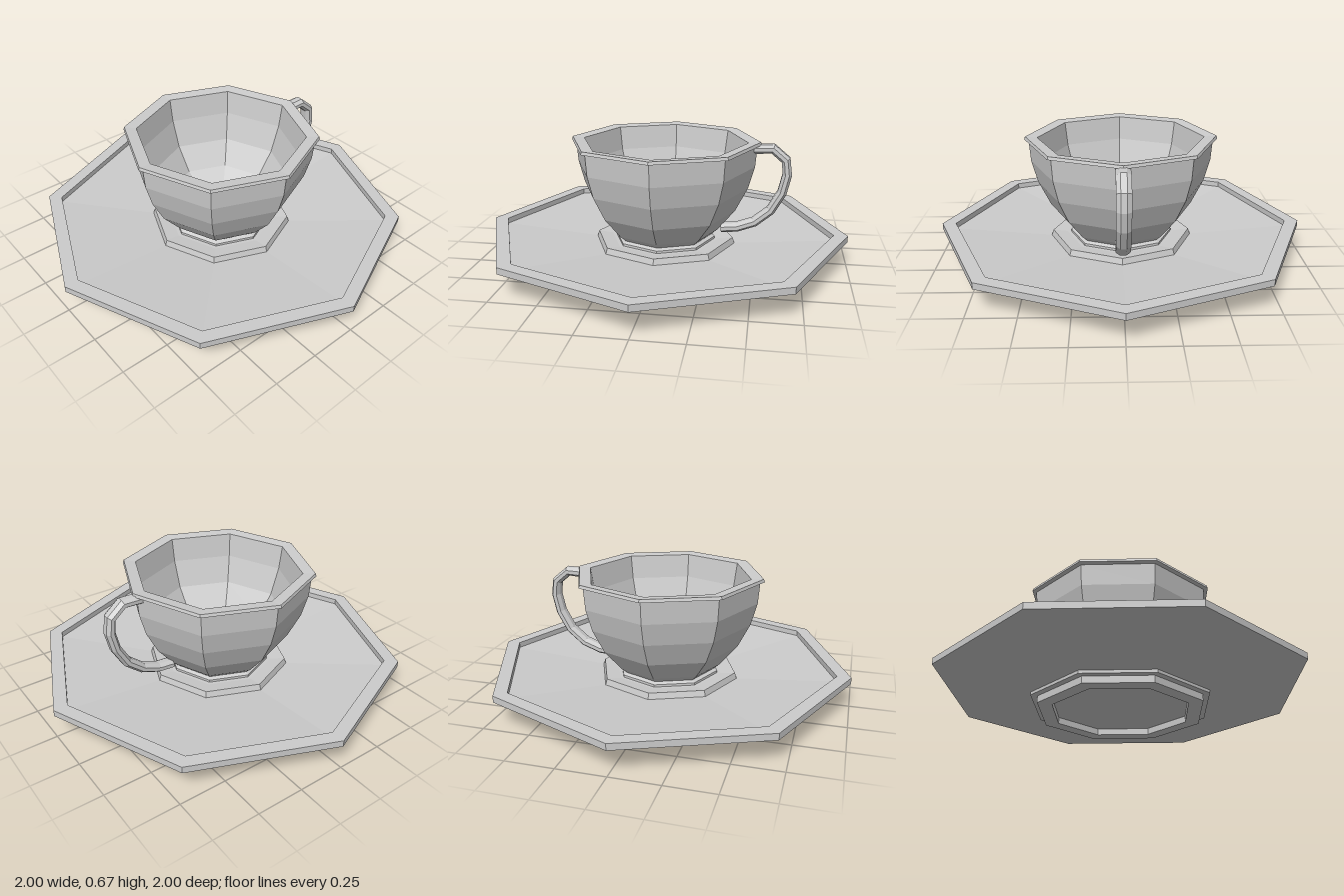
import * as THREE from 'three';

const material = new THREE.MeshStandardMaterial({ color: 0xcccccc, flatShading: true });

// Eight-sided turned part; the profile runs from the bottom axis, outside, to the top axis
function turned(name, profile) {
  const points = profile.map(([r, y]) => new THREE.Vector2(r, y));
  const mesh = new THREE.Mesh(new THREE.LatheGeometry(points, 8), material);
  mesh.name = name;
  return mesh;
}

// Faceted bar swept along a path in the xy plane, with closed ends
function sweptBar(name, path, halfThick, halfWide, sides) {
  const pos = [], index = [];
  path.forEach(([x, y], i) => {
    const a = path[Math.max(i - 1, 0)], b = path[Math.min(i + 1, path.length - 1)];
    const len = Math.hypot(b[0] - a[0], b[1] - a[1]);
    const nx = -(b[1] - a[1]) / len, ny = (b[0] - a[0]) / len;
    for (let j = 0; j < sides; j++) {
      const t = ((j + 0.5) / sides) * Math.PI * 2;
      const k = 1 / Math.cos(Math.PI / sides);
      const u = Math.cos(t) * halfThick * k, w = Math.sin(t) * halfWide * k;
      pos.push(x + nx * u, y + ny * u, w);
    }
  });
  const last = (path.length - 1) * sides;
  for (let i = 0; i < path.length - 1; i++) {
    for (let j = 0; j < sides; j++) {
      const a = i * sides + j, b = i * sides + ((j + 1) % sides);
      index.push(a, b, a + sides, b, b + sides, a + sides);
    }
  }
  for (let j = 1; j < sides - 1; j++) {
    index.push(0, j + 1, j, last, last + j, last + j + 1);
  }
  const geometry = new THREE.BufferGeometry();
  geometry.setAttribute('position', new THREE.Float32BufferAttribute(pos, 3));
  geometry.setIndex(index);
  geometry.computeVertexNormals();
  const mesh = new THREE.Mesh(geometry, material);
  mesh.name = name;
  return mesh;
}

export function createModel() {
  const model = new THREE.Group();
  model.name = 'cupAndSaucer';

  // Saucer: hollow foot ring, stepped underside, upright rim, raised seat for the cup
  model.add(turned('saucer', [
    [0, 0.035], [0.38, 0.035], [0.38, 0], [0.46, 0], [0.46, 0.037], [0.497, 0.037],
    [0.497, 0.053], [1, 0.13], [1, 0.165], [0.925, 0.165], [0.925, 0.135],
    [0.39, 0.09], [0.38, 0.122], [0.3, 0.112], [0, 0.112],
  ]));

  // Cup: small foot, rounded bowl, flared lip and hollow inside
  const cup = new THREE.Group();
  cup.name = 'cup';
  cup.add(turned('bowl', [
    [0, 0.105], [0.28, 0.105], [0.28, 0.125], [0.26, 0.135], [0.295, 0.165], [0.39, 0.28],
    [0.455, 0.41], [0.488, 0.53], [0.497, 0.645], [0.52, 0.65], [0.515, 0.666], [0.45, 0.66],
    [0.43, 0.53], [0.38, 0.38], [0.29, 0.25], [0.16, 0.17], [0, 0.17],
  ]));

  // Handle on the cup's left side
  cup.add(sweptBar('handle', [
    [0.48, 0.63], [0.58, 0.634], [0.65, 0.575], [0.66, 0.495], [0.637, 0.395],
    [0.58, 0.293], [0.495, 0.222], [0.4, 0.187], [0.315, 0.18],
  ], 0.025, 0.037, 8));
  model.add(cup);

  return model;
}
